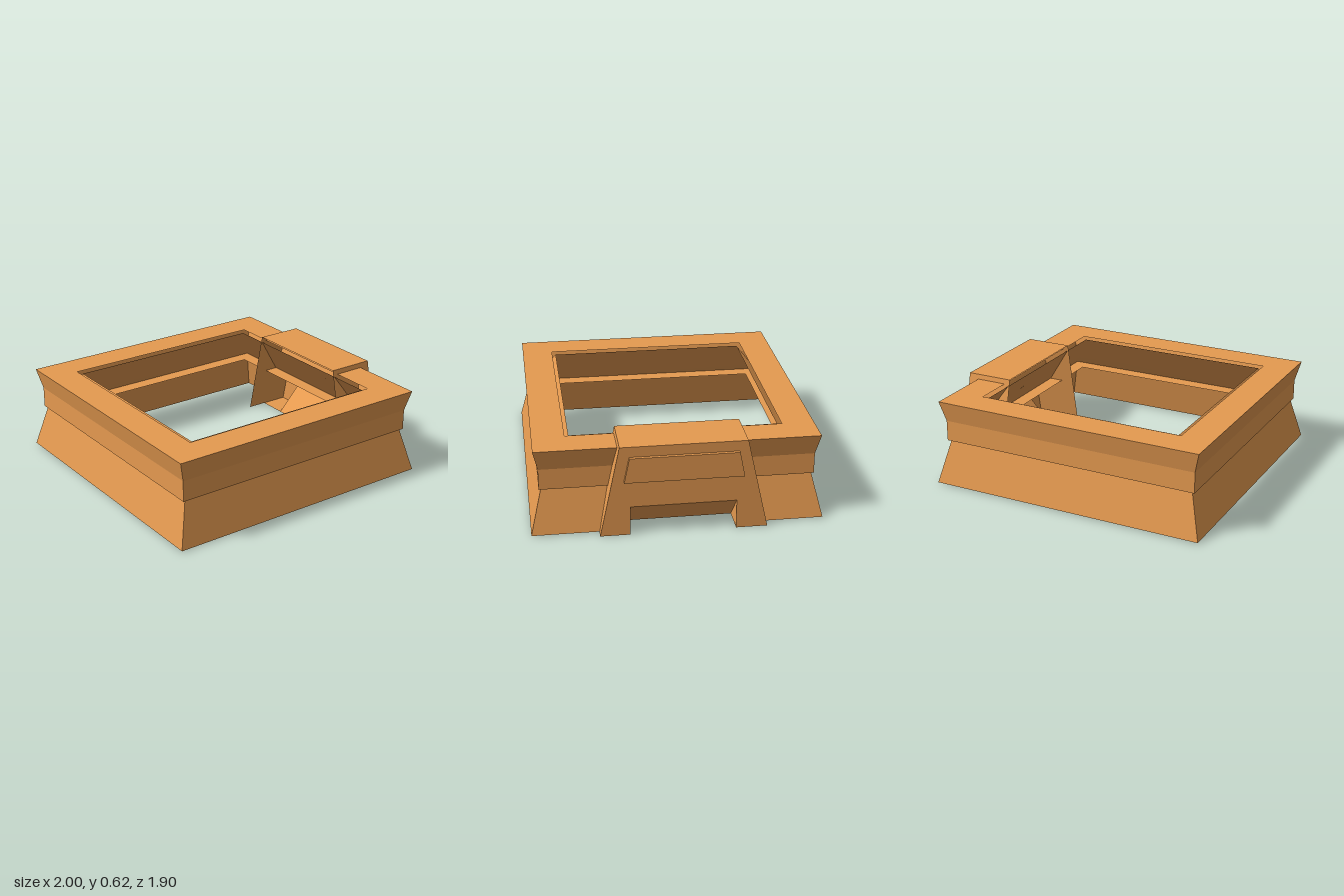
import * as THREE from 'three';
import { mergeVertices } from 'three/addons/utils/BufferGeometryUtils.js';

// Flat-shaded geometry from a list of four-cornered faces
function quads(list) {
  const pos = [];
  for (const [a, b, c, d] of list) pos.push(...a, ...b, ...c, ...a, ...c, ...d);
  const g = new THREE.BufferGeometry();
  g.setAttribute('position', new THREE.Float32BufferAttribute(pos, 3));
  g.computeVertexNormals();
  return g;
}

// Same, with normals smoothed round the corners
function smoothQuads(list) {
  const g = quads(list);
  g.deleteAttribute('normal');
  const merged = mergeVertices(g);
  merged.computeVertexNormals();
  return merged;
}

// Corners of a ring level given as [half width, half depth, height]
const CX = -0.0375;
const corners = ([hx, hz, y]) =>
  [[1, 1], [1, -1], [-1, -1], [-1, 1]].map(([sx, sz]) => [CX + sx * hx, y, sz * hz]);

// Faces joining successive rectangular levels, side 0 being +x
function bands(levels, sides = [0, 1, 2, 3]) {
  const out = [];
  for (let k = 0; k + 1 < levels.length; k++) {
    const a = corners(levels[k]), b = corners(levels[k + 1]);
    for (const i of sides) {
      const j = (i + 1) % 4;
      out.push([a[i], a[j], b[j], b[i]]);
    }
  }
  return out;
}

// Shape drawn in (z, y) and turned to face +x
function sideShape(points) {
  return new THREE.Shape(points.map(([z, y]) => new THREE.Vector2(-z, y)));
}

export function createModel() {
  const model = new THREE.Group();
  const clay = new THREE.MeshStandardMaterial({ color: 0xe59a50, side: THREE.DoubleSide });
  clay.name = 'clay';
  const add = (name, geometry) => {
    const mesh = new THREE.Mesh(geometry, clay);
    mesh.name = name;
    model.add(mesh);
    return mesh;
  };

  // Gate outline: slanted sides
  const X0 = 0.654, X1 = 0.978, H = 0.62;
  const zFront = y => 0.515 - 0.13 * y / H;
  const zBack = y => -0.57 + 0.14 * y / H;

  // Flared base skirt, interrupted where the gate stands
  const foot = [0.9625, 0.95, 0.006], waist = [0.886, 0.875, 0.306];
  const skirt = bands([foot, waist], [1, 2, 3]);
  const xa = CX + foot[0], xb = CX + waist[0], ya = foot[2], yb = waist[2];
  skirt.push(
    [[xa, ya, foot[1]], [xa, ya, zFront(ya)], [xb, yb, zFront(yb)], [xb, yb, waist[1]]],
    [[xa, ya, zBack(ya)], [xa, ya, -foot[1]], [xb, yb, -waist[1]], [xb, yb, zBack(yb)]]
  );
  add('wallBase', quads(skirt));

  // Upper wall: overhang, upright band, flare and flat top
  add('upperWall', quads(bands([
    waist,
    [0.907, 0.89, 0.306],
    [0.907, 0.89, 0.447],
    [0.943, 0.92, 0.587],
    [0.729, 0.707, 0.587],
  ])));

  // Leaning inner wall, a narrow gap away from the flat top
  add('innerWall', smoothQuads(bands([
    [0.70, 0.68, 0.575],
    [0.882, 0.871, 0.308],
  ])));

  // Narrow shelf round the inside
  add('innerShelf', quads(bands([waist, [0.785, 0.775, 0.306]])));

  // Gate front with its doorway
  const D0 = 0.32, D1 = -0.365, DH = 0.2, XD = 0.79;
  const face = new THREE.ShapeGeometry(sideShape([
    [zFront(0), 0], [D0, 0], [D0, DH], [D1, DH], [D1, 0],
    [zBack(0), 0], [zBack(H), H], [zFront(H), H],
  ]));
  face.rotateY(Math.PI / 2);
  add('gateFront', face).position.x = X1;

  // Gate top and slanted sides, open towards the courtyard
  const f0 = zFront(0), f1 = zFront(H), b0 = zBack(0), b1 = zBack(H);
  add('gateShell', quads([
    [[X0, H, f1], [X1, H, f1], [X1, H, b1], [X0, H, b1]],
    [[X0, 0, f0], [X1, 0, f0], [X1, H, f1], [X0, H, f1]],
    [[X1, 0, b0], [X0, 0, b0], [X0, H, b1], [X1, H, b1]],
  ]));

  // Soles of the two gate legs
  add('gateFeet', quads([
    [[XD, 0, D0], [X1, 0, D0], [X1, 0, f0], [XD, 0, f0]],
    [[XD, 0, b0], [X1, 0, b0], [X1, 0, D1], [XD, 0, D1]],
  ]));

  // Doorway recess: sloping ramp face and triangular cheeks
  add('doorRamp', quads([
    [[XD, 0, D0], [XD, 0, D1], [X1, DH, D1], [X1, DH, D0]],
  ]));
  const cheek = new THREE.ShapeGeometry(new THREE.Shape([
    new THREE.Vector2(XD, 0), new THREE.Vector2(X1, 0), new THREE.Vector2(X1, DH),
  ]));
  for (const z of [D0, D1]) add('doorCheek', cheek).position.z = z;

  // Raised panel above the doorway
  const panel = new THREE.ExtrudeGeometry(sideShape([
    [0.36, 0.38], [-0.41, 0.38], [-0.375, 0.55], [0.325, 0.55],
  ]), { depth: 1 - X1, bevelEnabled: false });
  panel.rotateY(Math.PI / 2);
  add('gatePanel', panel).position.x = X1;

  return model;
}
